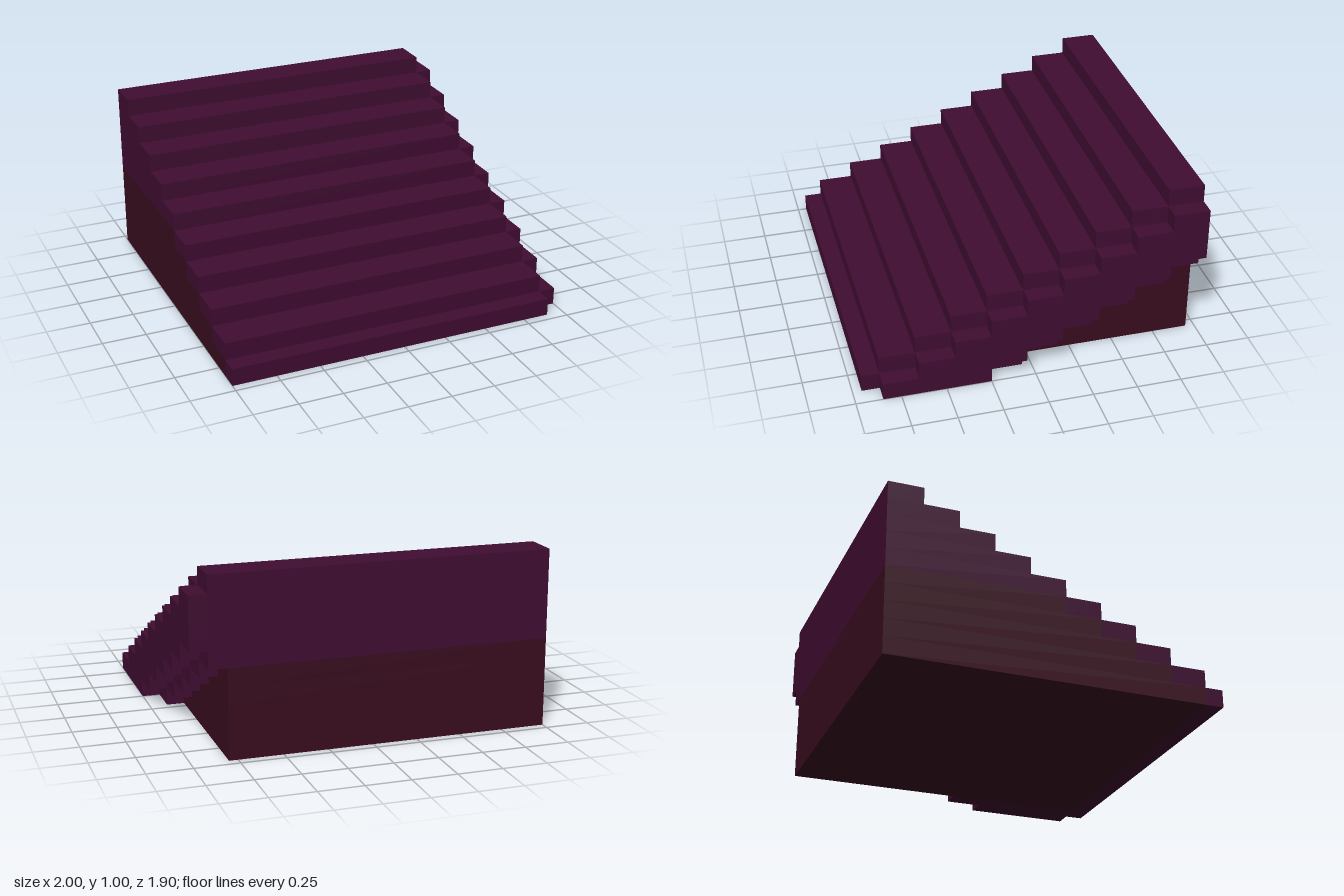
import * as THREE from 'three';

export function createModel() {
  const group = new THREE.Group();
  const plum = new THREE.MeshStandardMaterial({ color: 0x400d32 });
  plum.name = 'dark plum';
  const maroon = new THREE.MeshStandardMaterial({ color: 0x3a0d1f });
  maroon.name = 'dark maroon';

  const RISE = 0.1, RUN = 0.2, BACK = -0.95;

  // One horizontal course of the stair, given its x range, row and z range
  function course(name, x0, x1, row, front, back, material) {
    const end = Math.max(back, BACK);
    const mesh = new THREE.Mesh(new THREE.BoxGeometry(x1 - x0, RISE, front - end), material);
    mesh.position.set((x0 + x1) / 2, (row + 0.5) * RISE, (front + end) / 2);
    mesh.name = name;
    group.add(mesh);
  }

  for (let i = 0; i < 10; i++) {
    const nose = Math.min(0.95, 1.05 - RUN * i);
    const inner = 0.85 - RUN * i;
    const tail = 0.05 - RUN * i;
    if (i < 5) {
      // Lower courses: plum nosing and side, maroon core behind
      course('stepNosing', -1, 0.8, i, nose, inner, plum);
      course('stepSide', 0.8, 0.9, i, nose, tail, plum);
      course('core', -1, 0.8, i, inner, BACK, maroon);
    } else {
      // Upper courses run through to the back
      course('step', -1, 0.9, i, nose, BACK, plum);
    }
    // Stepped trim along the left side
    if (i < 9) course('sideTrim', 0.9, 1, i, inner, 0.25 - RUN * i, plum);
  }
  return group;
}
